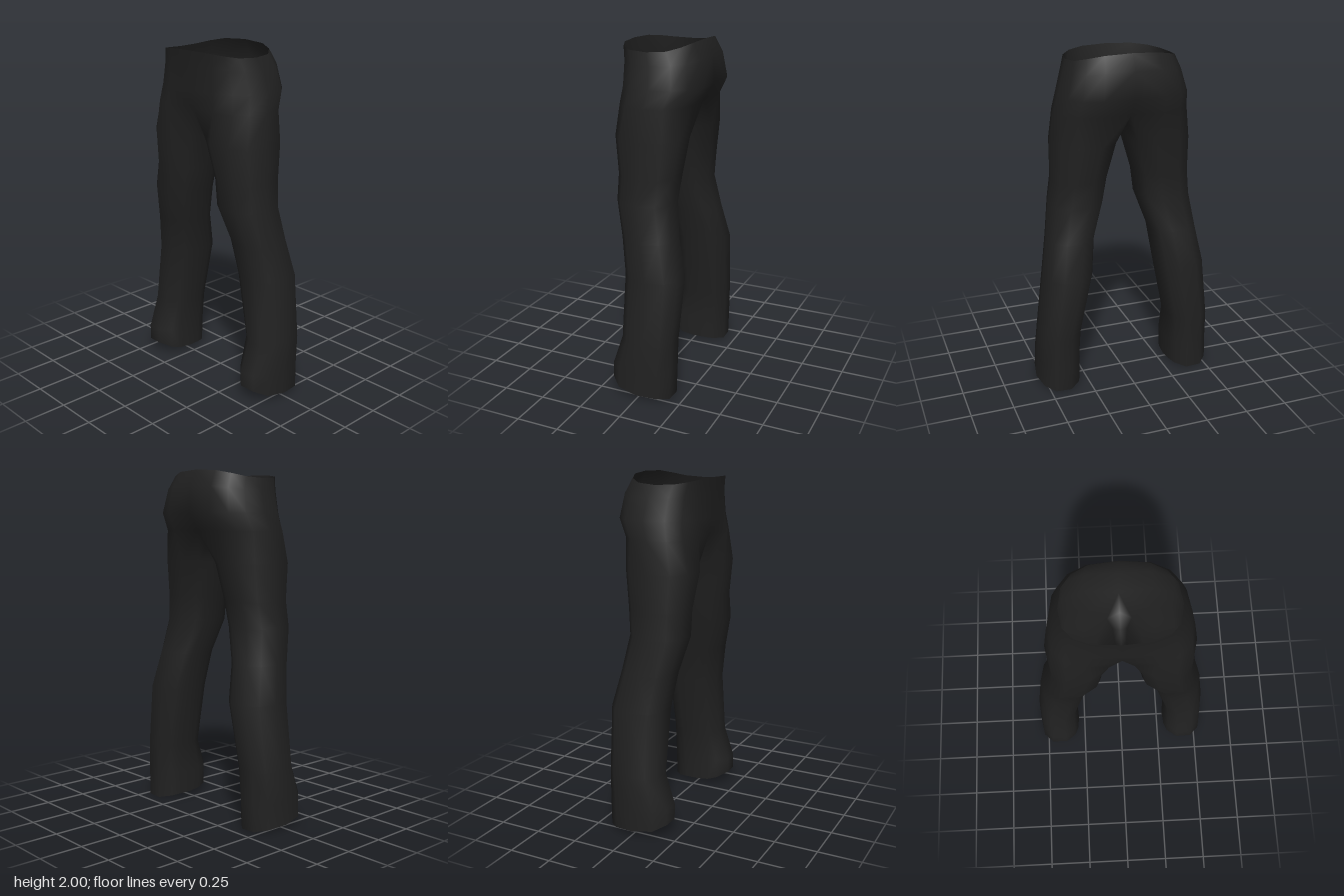
import * as THREE from 'three';
import { mergeVertices } from 'three/addons/utils/BufferGeometryUtils.js';

const OUTER = 8; // segments around the outside of each half
const INNER = 4; // segments along the inseam

const pw = (v, p) => Math.sign(v) * Math.pow(Math.abs(v), p);

// Hip rings: y, half width, back z, front z, centre notch back, notch front, rise back, rise front
const hips = [
  [1.95, 0.31, -0.19, 0.25, 0, 0, 0.05, 0.03],
  [1.88, 0.335, -0.235, 0.24, 0.005, 0, 0.03, 0.02],
  [1.76, 0.37, -0.258, 0.24, 0.02, 0.012, 0, 0],
  [1.66, 0.39, -0.205, 0.25, 0.03, 0.04, 0, 0],
];

// Leg rings: y, inner x, outer x, back z, front z, rise back, rise front
const legs = [
  [1.48, 0.03, 0.413, -0.168, 0.24, 0, 0],
  [1.27, 0.09, 0.413, -0.14, 0.212, 0, 0],
  [1.12, 0.112, 0.432, -0.122, 0.214, 0, 0],
  [0.92, 0.18, 0.46, -0.155, 0.165, 0, 0],
  [0.71, 0.207, 0.496, -0.205, 0.132, 0, 0],
  [0.34, 0.283, 0.536, -0.192, 0.132, 0, 0],
  [0.16, 0.288, 0.541, -0.19, 0.193, 0, 0],
  [0.025, 0.288, 0.546, -0.185, 0.192, -0.025, 0.05],
];

function hipRing([y, w, zb, zf, nb, nf, rb, rf], withInseam) {
  const ring = [], cz = (zb + zf) / 2, rz = (zf - zb) / 2;
  for (let j = 0; j <= OUTER; j++) {
    const a = Math.PI * j / OUTER, c = Math.cos(a);
    const notch = j === 0 ? -nf : j === OUTER ? nb : 0;
    const x = j === 0 || j === OUTER ? 0 : w * pw(Math.sin(a), 0.75);
    ring.push([x, y + (c > 0 ? rf : rb) * c * c, cz + rz * pw(c, 0.75) + notch]);
  }
  // crotch seam dipping between the legs, from back to front
  if (withInseam) {
    const z0 = ring[OUTER][2], z1 = ring[0][2];
    for (let k = 1; k < INNER; k++) {
      const t = k / INNER;
      ring.push([0, y - 0.06 * Math.sin(Math.PI * t), z0 + (z1 - z0) * t]);
    }
  }
  return ring;
}

function legRing([y, x0, x1, zb, zf, rb, rf]) {
  const ring = [], start = -50, span = 280;
  for (let j = 0; j < OUTER + INNER; j++) {
    const deg = j <= OUTER ? start + span * j / OUTER
      : start + span + (360 - span) * (j - OUTER) / INNER;
    const a = THREE.MathUtils.degToRad(deg), c = Math.cos(a);
    ring.push([
      (x0 + x1) / 2 + (x1 - x0) / 2 * pw(Math.sin(a), 0.85),
      y + (c > 0 ? rf : rb) * c * c,
      (zb + zf) / 2 + (zf - zb) / 2 * pw(c, 0.85),
    ]);
  }
  return ring;
}

export function createModel() {
  const group = new THREE.Group();
  group.name = 'trousers';
  const cloth = new THREE.MeshStandardMaterial({ color: 0x212121, side: THREE.DoubleSide });
  cloth.name = 'black cloth';

  const positions = [];
  // join two rings with quads, on one side of the body
  const skin = (upper, lower, count, side) => {
    for (let j = 0; j < count; j++) {
      const n = (j + 1) % upper.length, m = (j + 1) % lower.length;
      const a = upper[j], b = upper[n], c = lower[j], d = lower[m];
      const corners = side > 0 ? [a, c, b, b, c, d] : [a, b, c, b, d, c];
      for (const [x, y, z] of corners) positions.push(x * side, y, z);
    }
  };

  const hipRings = hips.map((h, i) => hipRing(h, i === hips.length - 1));
  const legRings = [hipRings[hips.length - 1], ...legs.map(legRing)];
  for (const side of [1, -1]) {
    for (let i = 0; i + 1 < hipRings.length; i++) skin(hipRings[i], hipRings[i + 1], OUTER, side);
    for (let i = 0; i + 1 < legRings.length; i++) skin(legRings[i], legRings[i + 1], OUTER + INNER, side);
  }

  // weld both halves into one smooth garment, open at waist and hems
  let geometry = new THREE.BufferGeometry();
  geometry.setAttribute('position', new THREE.Float32BufferAttribute(positions, 3));
  geometry = mergeVertices(geometry, 1e-4);
  geometry.computeVertexNormals();
  const mesh = new THREE.Mesh(geometry, cloth);
  mesh.name = 'hipsAndLegs';
  group.add(mesh);
  return group;
}
